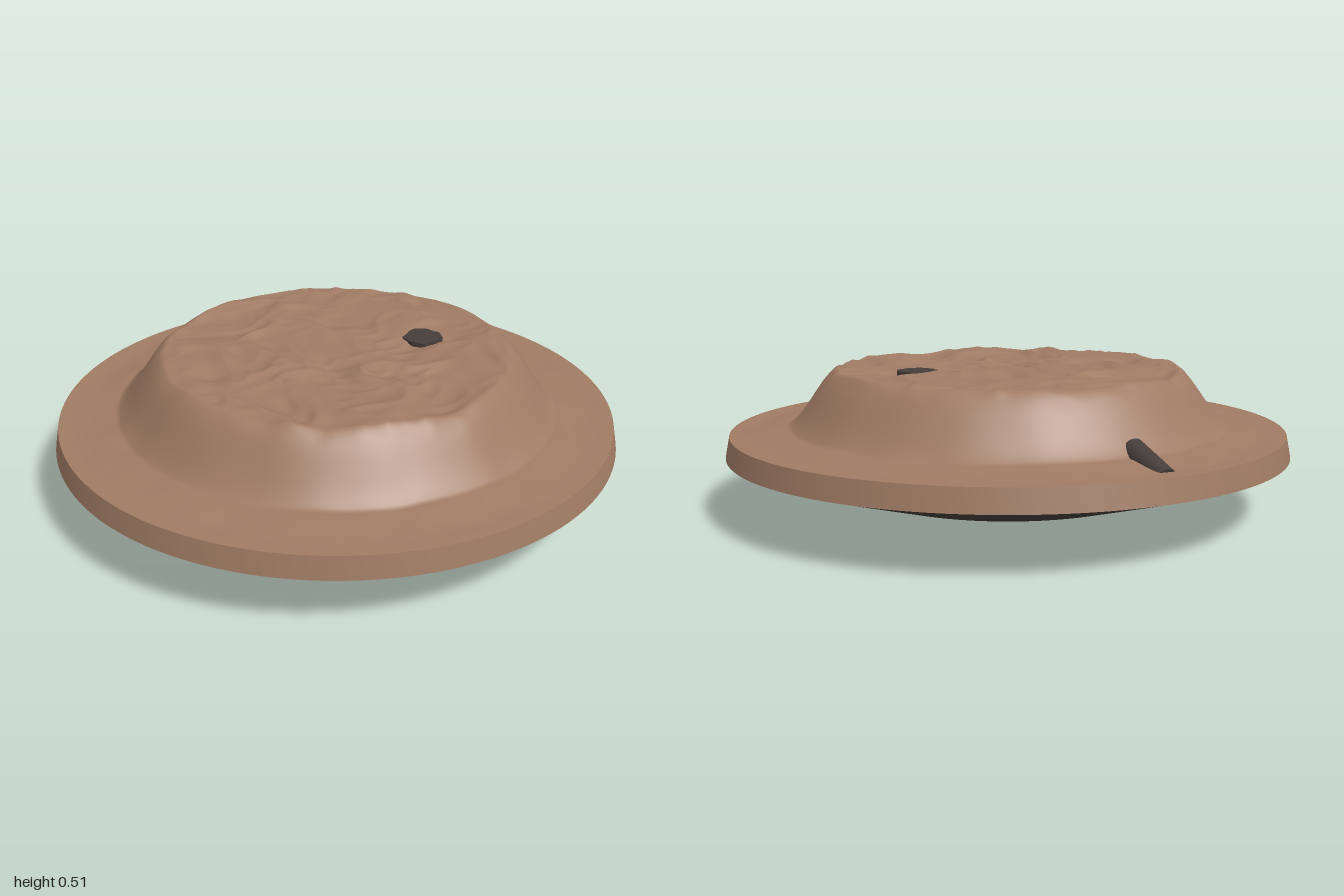
import * as THREE from 'three';
import { mergeVertices, toCreasedNormals } from 'three/addons/utils/BufferGeometryUtils.js';

const clay = new THREE.MeshStandardMaterial({ name: 'clay brown', color: 0xa07b64 });
const dark = new THREE.MeshStandardMaterial({ name: 'dark stone', color: 0x453d39 });

const smooth = (a, b, v) => THREE.MathUtils.smoothstep(v, a, b);

// Seeded value noise in the range 0..1
function hash(i, j) {
  const s = Math.sin(i * 127.1 + j * 311.7 + 5.3) * 43758.5453;
  return s - Math.floor(s);
}
function noise(x, z) {
  const i = Math.floor(x), j = Math.floor(z);
  const u = smooth(0, 1, x - i), v = smooth(0, 1, z - j);
  const lerp = THREE.MathUtils.lerp;
  return lerp(lerp(hash(i, j), hash(i + 1, j), u), lerp(hash(i, j + 1), hash(i + 1, j + 1), u), v);
}

// Creased ridges of the plateau, always dipping below its top
function wrinkle(x, z) {
  const wx = x + 0.12 * noise(x * 5, z * 5 + 9), wz = z + 0.12 * noise(x * 5 + 17, z * 5);
  const big = Math.abs(noise(wx * 7 + 3, wz * 7) - 0.5) * 2;
  const small = Math.abs(noise(wx * 14, wz * 14 + 31) - 0.5) * 2;
  return -0.026 * big - 0.01 * small;
}

// Height of the mound: flat skirt, steep flank, wrinkled plateau
function moundHeight(x, z) {
  const r = Math.hypot(x, z);
  const wobble = 0.05 * (noise(x * 5 + 40, z * 5 + 40) - 0.5) + 0.016 * (noise(x * 16, z * 16) - 0.5);
  const q = r + wobble * smooth(0.95, 0.8, r) * smooth(0.3, 0.5, r);
  const skirt = 0.285 + 0.018 * (1 - smooth(0.76, 0.94, q));
  const t = THREE.MathUtils.clamp((0.78 - q) / 0.17, 0, 1);
  const flank = 0.2 * (0.55 * t + 0.45 * t * t * (3 - 2 * t));
  const ripple = 0.008 * (noise(x * 9 + 70, z * 9) - 0.5) * (1 - smooth(0.88, 0.96, r));
  return skirt + flank + ripple + wrinkle(x, z) * (1 - smooth(0.56, 0.68, q)) + 0.004 * t;
}

function lathe(profile, segments = 128) {
  const points = profile.map(([r, y]) => new THREE.Vector2(r, y));
  return toCreasedNormals(new THREE.LatheGeometry(points, segments), 0.35);
}

function mound() {
  const profile = [];
  for (let i = 0; i <= 120; i++) profile.push(new THREE.Vector2(0.985 * (1 - i / 120), 0.285));
  const g = new THREE.LatheGeometry(profile, 220);
  const p = g.attributes.position;
  for (let i = 0; i < p.count; i++) p.setY(i, moundHeight(p.getX(i), p.getZ(i)));
  g.deleteAttribute('uv');
  g.deleteAttribute('normal');
  const merged = mergeVertices(g, 1e-5);
  merged.computeVertexNormals();
  return merged;
}

export function createModel() {
  const model = new THREE.Group();
  const add = (name, geometry, material, x = 0, y = 0, z = 0) => {
    const mesh = new THREE.Mesh(geometry, material);
    mesh.name = name;
    mesh.position.set(x, y, z);
    model.add(mesh);
    return mesh;
  };

  // Disc: wrinkled top, slanted edge and hollowed underside
  add('moundTop', mound(), clay);
  add('rimBand', lathe([[1, 0.21], [0.985, 0.285]]), clay);
  add('underside', lathe([[0, 0.15], [0.535, 0.15], [0.57, 0.075], [1, 0.21]]), dark);

  // Off-centre boss inside the hollow, with its arm and small bumps
  add('boss', lathe([[0, 0.02], [0.235, 0.02], [0.25, 0.012], [0.27, 0.012], [0.3, 0.075], [0.31, 0.152]], 64),
    dark, 0.105, 0, 0.08);
  add('arm', new THREE.BoxGeometry(0.4, 0.1, 0.1), dark, -0.35, 0.103, 0.04);
  for (const [x, z] of [[-0.05, 0.08], [0.02, 0.2], [-0.06, 0.17]]) {
    const bump = add('bossBump', new THREE.SphereGeometry(0.035, 16, 10), dark, x, 0.02, z);
    bump.scale.y = 0.25;
  }

  // Clay lumps showing through the underside
  const lumps = [
    [0.004, 0.012, -0.156], [-0.15, 0.014, 0.04], [-0.09, 0.014, 0.21],
    [0.156, 0.15, -0.25], [0.36, 0.15, -0.12], [-0.23, 0.15, -0.25],
    [-0.46, 0.15, -0.09], [0.16, 0.15, 0.49], [-0.37, 0.14, 0.38],
  ];
  lumps.forEach(([x, y, z], i) => {
    const lump = add('clayLump', new THREE.IcosahedronGeometry(0.03, 1), clay, x, y, z);
    lump.scale.set(1, y < 0.1 ? y / 0.03 : 0.4, 0.6);
    lump.rotation.y = i * 1.3;
  });

  // Ragged dark plug in the plateau
  const plug = new THREE.CylinderGeometry(0.07, 0.07, 0.06, 28);
  const p = plug.attributes.position;
  for (let i = 0; i < p.count; i++) {
    const a = Math.atan2(p.getZ(i), p.getX(i));
    const k = 1 + 0.05 * Math.cos(a * 9) + 0.04 * Math.sin(a * 4);
    p.setX(i, p.getX(i) * k);
    p.setZ(i, p.getZ(i) * k);
  }
  plug.computeVertexNormals();
  add('plateauPlug', toCreasedNormals(plug, 0.6), dark, 0.33, 0.467, 0.055);

  // Dark peg lying on the back skirt, rising towards the flank
  const peg = add('backPeg', new THREE.CylinderGeometry(0.042, 0.038, 0.19, 24), dark, -0.06, 0.287, -0.82);
  peg.rotation.x = Math.PI / 2 - 0.3;
  return model;
}
